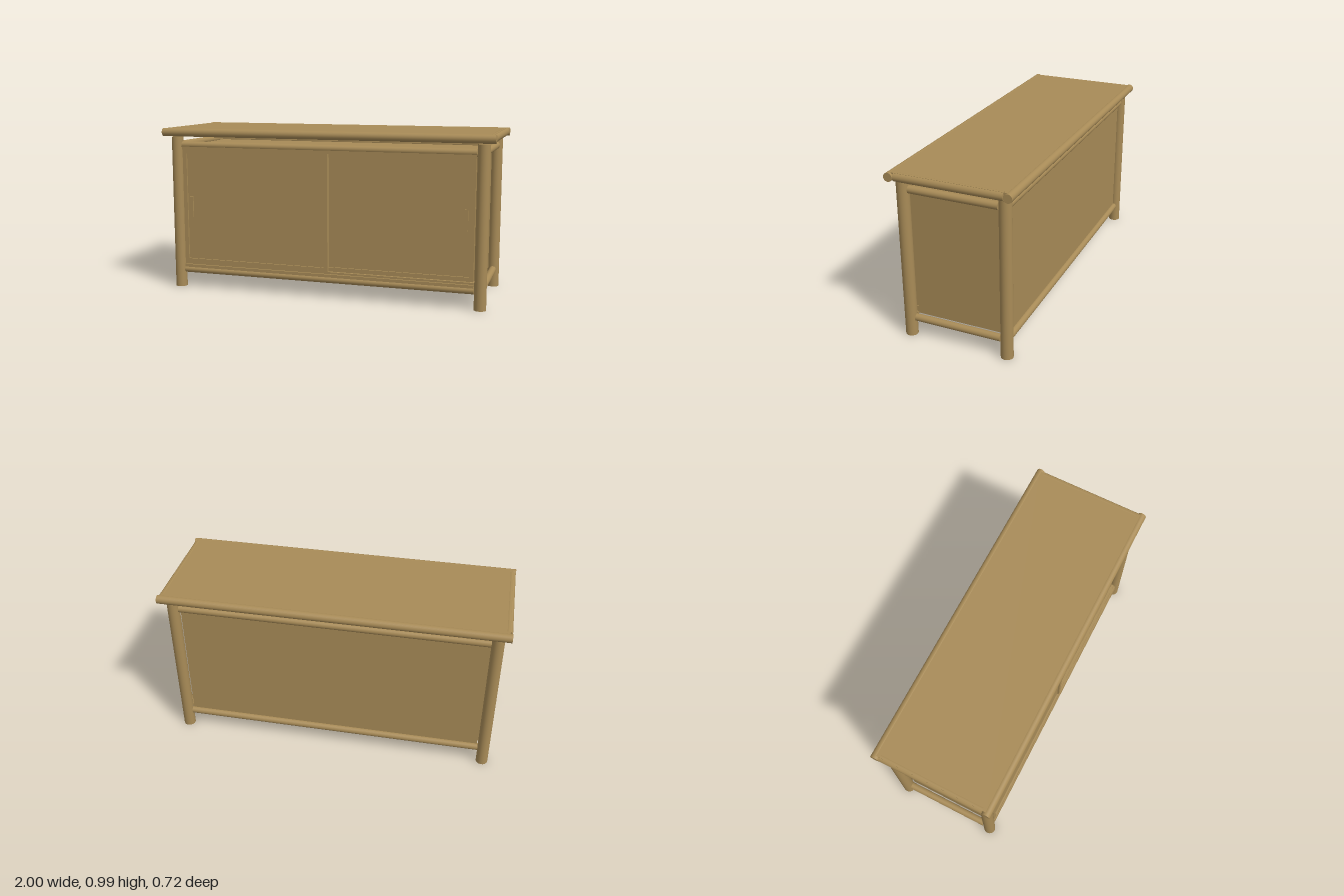
import * as THREE from 'three';

export function createModel() {
  const group = new THREE.Group();
  group.name = 'sideboard';
  const wood = new THREE.MeshStandardMaterial({ color: 0xa88b57 });
  wood.name = 'bamboo';

  // box given by its min and max along each axis
  const box = (name, x0, x1, y0, y1, z0, z1) => {
    const m = new THREE.Mesh(new THREE.BoxGeometry(x1 - x0, y1 - y0, z1 - z0), wood);
    m.position.set((x0 + x1) / 2, (y0 + y1) / 2, (z0 + z1) / 2);
    m.name = name;
    group.add(m);
  };
  // round pole along the chosen axis
  const pole = (name, axis, r, length, x, y, z) => {
    const g = new THREE.CylinderGeometry(r, r, length, 24);
    if (axis === 'x') g.rotateZ(Math.PI / 2);
    if (axis === 'z') g.rotateX(Math.PI / 2);
    const m = new THREE.Mesh(g, wood);
    m.position.set(x, y, z);
    m.name = name;
    group.add(m);
  };

  for (const s of [-1, 1]) {
    // legs
    for (const t of [-1, 1]) pole('leg', 'y', 0.035, 0.93, s * 0.93, 0.465, t * 0.292);
    // poles around the table top
    pole('topLongRail', 'x', 0.025, 2, 0, 0.96, s * 0.335);
    pole('topSideRail', 'z', 0.025, 0.615, s * 0.975, 0.96, 0);
    // stretchers between the legs
    for (const [r, y] of [[0.022, 0.881], [0.021, 0.109]]) {
      pole('longStretcher', 'x', r, 1.79, 0, y, s * 0.292);
      pole('sideStretcher', 'z', r, 0.512, s * 0.93, y, 0);
    }
    // cabinet end panels
    box('sidePanel', s * 0.896 - 0.008, s * 0.896 + 0.008, 0.122, 0.858, -0.254, 0.256);
  }

  // table top and cabinet body
  box('tableTop', -0.985, 0.985, 0.962, 0.984, -0.335, 0.335);
  box('backPanel', -0.889, 0.889, 0.115, 0.875, -0.29, -0.274);
  box('bottomPanel', -0.889, 0.889, 0.118, 0.132, -0.28, 0.29);
  box('cabinetTop', -0.889, 0.889, 0.862, 0.876, -0.28, 0.29);

  // door tracks
  box('lowerTrack', -0.893, 0.893, 0.125, 0.143, 0.258, 0.312);
  box('lowerTrackLip', -0.893, 0.893, 0.143, 0.155, 0.258, 0.3);
  box('upperTrack', -0.893, 0.893, 0.853, 0.872, 0.258, 0.312);

  // framed sliding doors: the left one runs in front of the other
  const door = (x0, x1, z, handleX) => {
    const f = 0.025;
    box('doorPanel', x0 + f, x1 - f, 0.18, 0.83, z - 0.02, z - 0.01);
    for (const x of [x0, x1 - f]) box('doorStile', x, x + f, 0.18, 0.83, z - 0.022, z);
    for (const y of [0.155, 0.83]) box('doorRail', x0, x1, y, y + f, z - 0.022, z);
    box('doorHandle', handleX - 0.01, handleX + 0.01, 0.44, 0.565, z - 0.012, z);
  };
  door(-0.891, 0.036, 0.308, -0.84);
  door(0.01, 0.888, 0.284, 0.84);

  return group;
}
